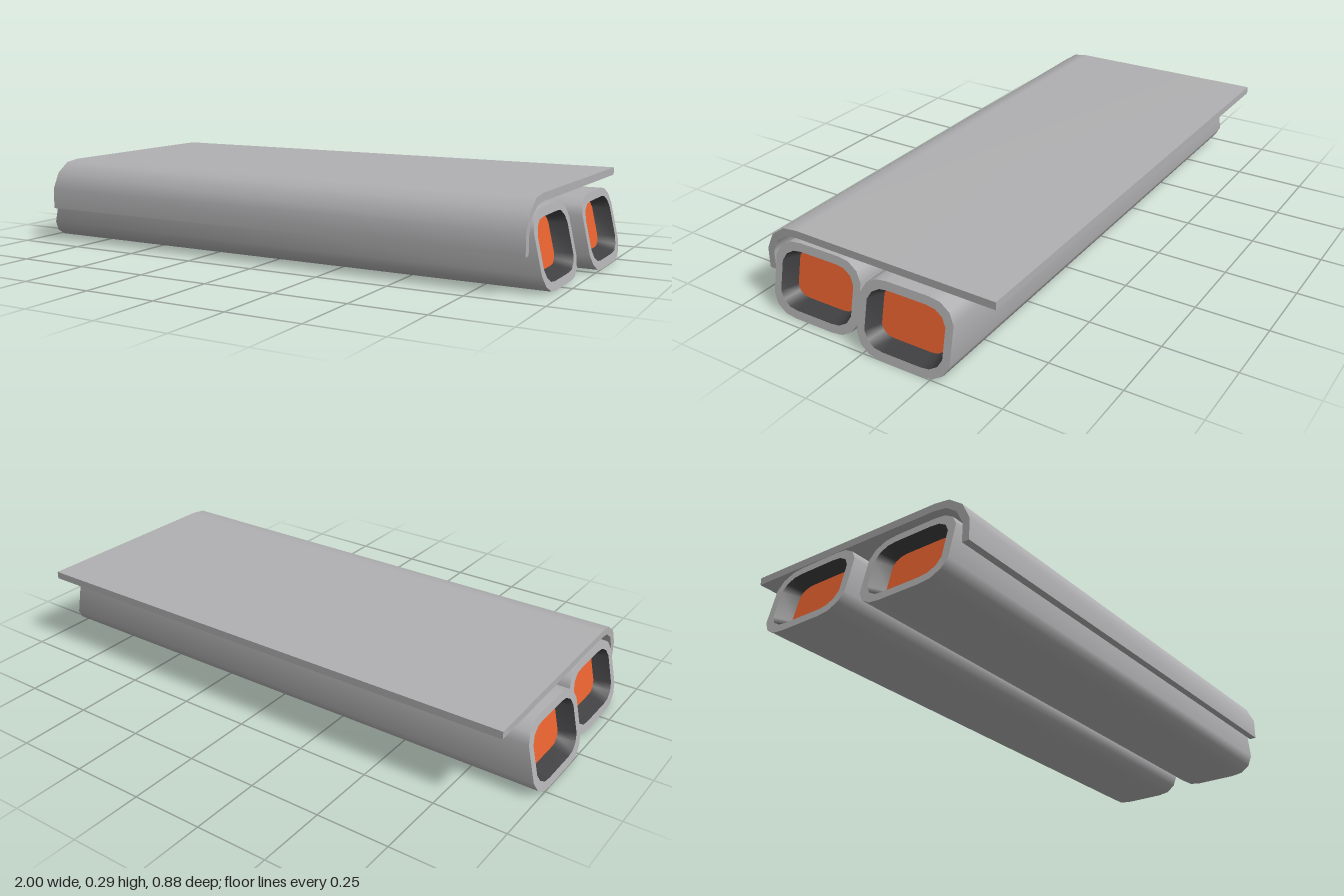
import * as THREE from 'three';

const grey = new THREE.MeshStandardMaterial({ color: 0xb0b0b2 });
grey.name = 'grey';
const dark = new THREE.MeshStandardMaterial({ color: 0x404042 });
dark.name = 'darkGrey';
const orange = new THREE.MeshStandardMaterial({ color: 0xe8622f });
orange.name = 'orange';

const SLANT = 0.225; // how far the tube ends lean in per unit of height
const MID_Y = 0.123;

function mesh(name, points, index, material) {
  const geometry = new THREE.BufferGeometry().setFromPoints(points);
  geometry.setIndex(index);
  geometry.computeVertexNormals();
  const m = new THREE.Mesh(geometry, material);
  m.name = name;
  return m;
}

// Surface between two rows of points, smooth along its length
function strip(name, a, b, material, closed = false) {
  const n = a.length, index = [];
  for (let i = 0; i < (closed ? n : n - 1); i++) {
    const j = (i + 1) % n;
    index.push(i, j, n + j, i, n + j, n + i);
  }
  return mesh(name, [...a, ...b], index, material);
}

// Rounded rectangle across the tube, counter-clockwise seen from +x
function loop(halfZ, halfY, cornerScale, endX, side = 1) {
  const corner = [[0, 0.06], [0.019, 0.026], [0.054, 0.005], [0.094, 0]]
    .map(([u, v]) => [halfZ - u * cornerScale, halfY - v * cornerScale]);
  const back = [...corner].reverse();
  const outline = [
    ...corner,
    ...back.map(([u, v]) => [-u, v]),
    ...corner.map(([u, v]) => [-u, -v]),
    ...back.map(([u, v]) => [u, -v]),
  ];
  return outline.map(([u, v]) => {
    const y = MID_Y + v;
    return new THREE.Vector3(side * (endX - SLANT * y), y, -u);
  });
}

// Hollow-ended tube with slanted rims and recessed orange panels
function makeTube(name, endX, z) {
  const tube = new THREE.Group();
  tube.name = name;
  tube.position.z = z;
  tube.add(strip('tubeShell', loop(0.17, 0.123, 1, endX, -1), loop(0.17, 0.123, 1, endX), grey, true));
  for (const [side, turn] of [['left', 0], ['right', Math.PI]]) {
    const end = new THREE.Group();
    end.name = side + 'End';
    end.rotation.y = turn;
    const outer = loop(0.17, 0.123, 1, endX);
    const opening = loop(0.143, 0.096, 0.78, endX);
    const inner = loop(0.12, 0.08, 0.55, endX - 0.055);
    const fan = [];
    for (let i = 1; i < inner.length - 1; i++) fan.push(0, i, i + 1);
    end.add(
      strip('rim', outer, opening, grey, true),
      strip('recessWall', opening, inner, dark, true),
      mesh('endPanel', inner, fan, orange),
    );
    tube.add(end);
  }
  return tube;
}

// Flat cover plate that curls down over the front
function makeCover() {
  const cover = new THREE.Group();
  cover.name = 'cover';
  const outer = [[0.438, 0.12], [0.438, 0.192], [0.41, 0.25], [0.36, 0.285], [0.305, 0.292], [-0.438, 0.292]];
  const inner = [[0.413, 0.12], [0.413, 0.185], [0.389, 0.233], [0.35, 0.26], [0.303, 0.266], [-0.438, 0.266]];
  // The plate is slightly wider towards the back
  const row = (points, side) => points.map(([z, y]) =>
    new THREE.Vector3(side * (0.9225 - z * 0.017), y, z));
  const outL = row(outer, 1), outR = row(outer, -1);
  const inL = row(inner, 1), inR = row(inner, -1);
  const last = outer.length - 1;
  cover.add(
    strip('coverTop', outL, outR, grey),
    strip('coverUnderside', inR, inL, grey),
    strip('coverLeftEdge', inL, outL, grey),
    strip('coverRightEdge', outR, inR, grey),
    strip('coverFrontLip', [inR[0], inL[0]], [outR[0], outL[0]], grey),
    strip('coverBackEdge', [outR[last], outL[last]], [inR[last], inL[last]], grey),
  );
  return cover;
}

export function createModel() {
  const model = new THREE.Group();
  model.name = 'twinTubeWithCover';
  model.add(
    makeTube('frontTube', 0.965, 0.225),
    makeTube('rearTube', 1, -0.142),
    makeCover(),
  );
  return model;
}
